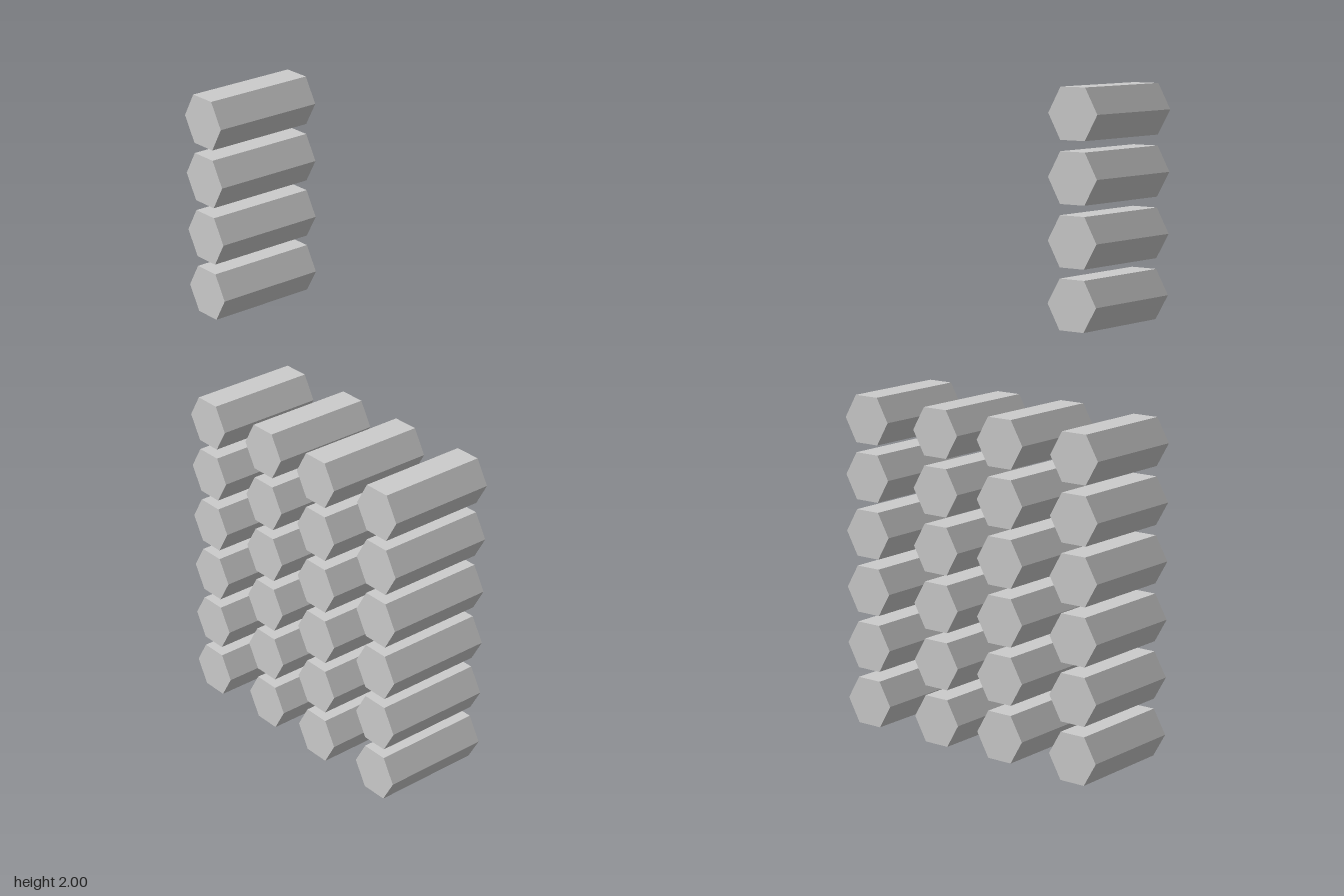
import * as THREE from 'three';

const RADIUS = 0.0843, LENGTH = 0.349, SPACING = 0.1771;

// Each stack: centre x, centre y of its lowest bar, centre z, number of bars
const STACKS = [
  { name: 'farRightStack', x: -0.392, y: 0.076, z: 0.0015, count: 6 },
  { name: 'innerRightStack', x: -0.123, y: 0.0865, z: 0.0015, count: 6 },
  { name: 'innerLeftStack', x: 0.12, y: 0.0875, z: 0.0015, count: 6 },
  { name: 'farLeftStack', x: 0.39, y: 0.0945, z: 0.0015, count: 6 },
  { name: 'raisedStack', x: -0.386, y: 1.3957, z: -0.005, count: 4 },
];

export function createModel() {
  const model = new THREE.Group();
  model.name = 'hexagonalBars';
  const material = new THREE.MeshStandardMaterial({ color: 0xcccccc, flatShading: true });

  // Hexagonal bar lying along z, corners pointing sideways, flat on top
  const bar = new THREE.CylinderGeometry(RADIUS, RADIUS, LENGTH, 6, 1, false, Math.PI / 2);
  bar.rotateX(Math.PI / 2);

  for (const { name, x, y, z, count } of STACKS) {
    const stack = new THREE.Group();
    stack.name = name;
    stack.position.set(x, y, z);
    for (let i = 0; i < count; i++) {
      const mesh = new THREE.Mesh(bar, material);
      mesh.name = `hexBar${i + 1}`;
      mesh.position.y = i * SPACING;
      stack.add(mesh);
    }
    model.add(stack);
  }
  return model;
}
